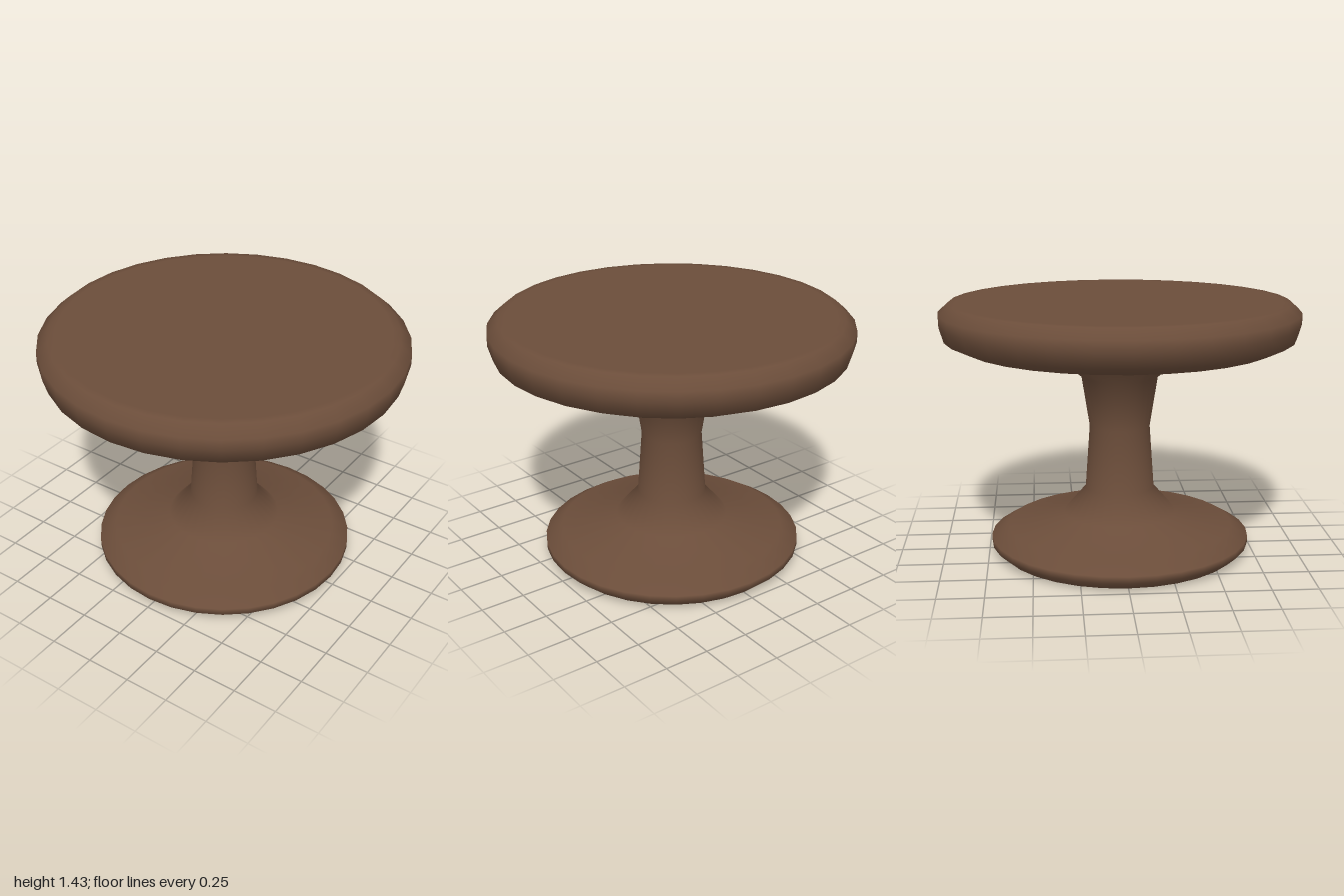
import * as THREE from 'three';

const SIDES = 32;

// Smooth turned part from [radius, height] points, listed bottom to top
function turned(name, points, material) {
  const profile = points.map(([r, y]) => new THREE.Vector2(r, y));
  const mesh = new THREE.Mesh(new THREE.LatheGeometry(profile, SIDES), material);
  mesh.name = name;
  return mesh;
}

export function createModel() {
  const model = new THREE.Group();
  model.name = 'roundPedestalTable';

  const wood = new THREE.MeshStandardMaterial({ color: 0x6b4d3a });
  wood.name = 'dark wood';

  // Spreading foot, waisted column and flared neck
  model.add(turned('pedestal', [
    [0, 0], [0.65, 0], [0.685, 0.005], [0.735, 0.05], [0.735, 0.088],
    [0.64, 0.145], [0.32, 0.215], [0.195, 0.36], [0.17, 0.72],
    [0.215, 1.005], [0.45, 1.185],
  ], wood));

  // Thick round top with a softened rim; extra points keep both faces flat
  model.add(turned('tabletop', [
    [0, 1.183], [0.82, 1.183], [0.875, 1.185], [0.975, 1.232], [1, 1.315],
    [1, 1.375], [0.94, 1.428], [0.9, 1.43], [0, 1.43],
  ], wood));

  return model;
}
